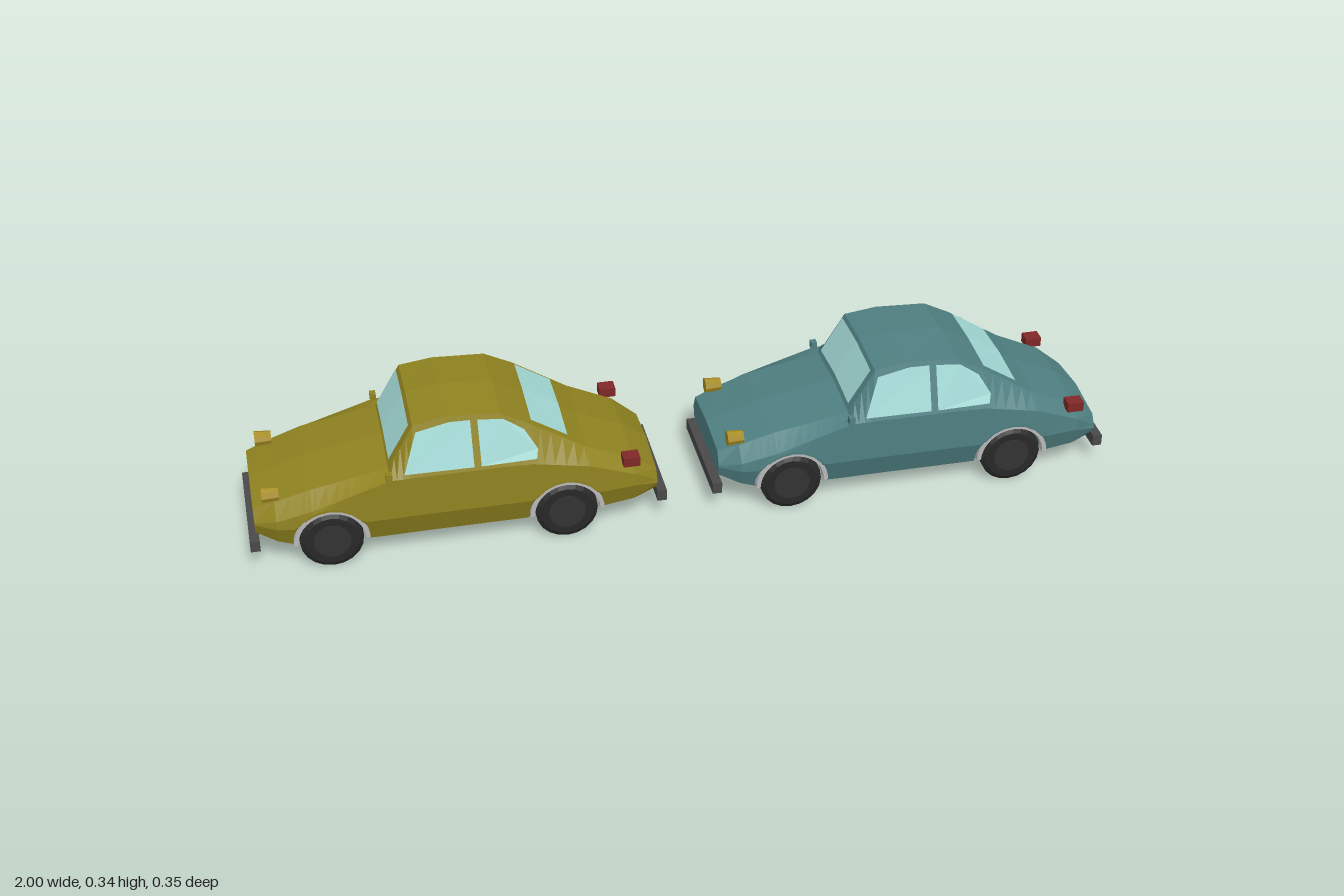
import * as THREE from 'three';

const mat = (name, color, extra = {}) => {
  const m = new THREE.MeshStandardMaterial({ color, flatShading: true, ...extra });
  m.name = name;
  return m;
};

// Body stations: x, belt height, belt half width, roof edge height, roof edge half width, centre height
const KEYS = [
  [-0.458, 0.12, 0.13, 0.15, 0.115, 0.158],
  [-0.41, 0.135, 0.16, 0.165, 0.125, 0.172],
  [-0.33, 0.16, 0.172, 0.19, 0.13, 0.198],
  [-0.155, 0.215, 0.171, 0.222, 0.13, 0.232],
  [-0.095, 0.215, 0.17, 0.325, 0.128, 0.332],
  [-0.02, 0.215, 0.17, 0.337, 0.125, 0.345],
  [0.1, 0.215, 0.17, 0.33, 0.127, 0.337],
  [0.165, 0.213, 0.17, 0.295, 0.131, 0.301],
  [0.29, 0.19, 0.172, 0.215, 0.13, 0.224],
  [0.395, 0.145, 0.16, 0.168, 0.125, 0.178],
  [0.453, 0.1, 0.13, 0.122, 0.115, 0.135],
];
const FLOOR = [[-0.458, 0.09], [-0.376, 0.062], [-0.18, 0.055], [0.135, 0.055], [0.32, 0.062], [0.453, 0.075]];
const AXLES = [-0.293, 0.237];
const WHEEL_Y = 0.071, ARCH_R = 0.083;

// Linear interpolation of a table row at x
function sample(table, x) {
  let i = 0;
  while (i < table.length - 2 && x > table[i + 1][0]) i++;
  const [a, b] = [table[i], table[i + 1]];
  const t = (x - a[0]) / (b[0] - a[0]);
  return a.map((v, k) => v + (b[k] - v) * t);
}

// Underside height, with the wheel arches cut into it
function floorY(x) {
  for (const c of AXLES) {
    const d = Math.abs(x - c);
    if (d <= ARCH_R) return WHEEL_Y + Math.sqrt(ARCH_R * ARCH_R - d * d);
  }
  return sample(FLOOR, x)[1];
}

// Closed cross-section as [z, y] pairs
function section(x) {
  const [, by, bw, ty, tw, cy] = sample(KEYS, x);
  const fy = floorY(x);
  const belt = Math.max(by, fy + 0.012);
  const mid = Math.min(Math.max(fy + 0.006, 0.115), belt - 0.006);
  const lowW = bw * (0.88 + 0.13 * Math.min(1, Math.max(0, (fy - 0.055) / 0.065)));
  const half = [[lowW, fy], [bw + 0.002, mid], [bw, belt], [tw, ty]];
  return [[0, fy], ...half, [0, cy], ...half.map(([z, y]) => [-z, y]).reverse()];
}

function bodyGeometry() {
  const xs = KEYS.map((k) => k[0]).concat(FLOOR.map((f) => f[0]));
  for (const c of AXLES) {
    for (let i = 0; i <= 10; i++) xs.push(c - (ARCH_R - 0.00001) * Math.cos((i / 10) * Math.PI));
    xs.push(c - ARCH_R - 0.002, c + ARCH_R + 0.002);
  }
  for (let x = -0.14; x < -0.1; x += 0.015) xs.push(x);
  const stations = xs.sort((a, b) => a - b).filter((x, i, a) => i === 0 || x - a[i - 1] > 0.0008);
  const pos = [], idx = [], N = 10;
  stations.forEach((x) => section(x).forEach(([z, y]) => pos.push(x, y, z)));
  const last = (stations.length - 1) * N;
  for (let i = 0; i < last; i += N) {
    for (let j = 0; j < N; j++) {
      const k = (j + 1) % N;
      idx.push(i + j, i + N + j, i + N + k, i + j, i + N + k, i + k);
    }
  }
  // Nose and tail caps
  for (let j = 1; j < N - 1; j++) idx.push(0, j, j + 1, last, last + j + 1, last + j);
  const g = new THREE.BufferGeometry();
  g.setAttribute('position', new THREE.Float32BufferAttribute(pos, 3));
  g.setIndex(idx);
  const flat = g.toNonIndexed();
  flat.computeVertexNormals();
  return flat;
}

// Side glass laid on the sloping cabin side
function sideGlass(points) {
  const g = new THREE.ShapeGeometry(new THREE.Shape(points.map(([x, y]) => new THREE.Vector2(x, y))));
  const p = g.attributes.position;
  for (let i = 0; i < p.count; i++) {
    const [, by, bw, ty, tw] = sample(KEYS, p.getX(i));
    const t = (p.getY(i) - by) / (ty - by);
    p.setZ(i, bw + (tw - bw) * t + 0.005);
  }
  g.computeVertexNormals();
  return g;
}

// Front or rear glass laid on the crowned top surface
function crossGlass(x0, x1, dx) {
  const pos = [];
  for (const x of [x0, x1]) {
    const [, , , ty, tw, cy] = sample(KEYS, x);
    for (const z of [-0.118, 0, 0.118]) {
      pos.push(x + dx, cy + (ty - cy) * Math.abs(z) / tw + 0.003, z);
    }
  }
  const g = new THREE.BufferGeometry();
  g.setAttribute('position', new THREE.Float32BufferAttribute(pos, 3));
  g.setIndex([0, 1, 4, 0, 4, 3, 1, 2, 5, 1, 5, 4]);
  g.computeVertexNormals();
  return g;
}

function wheelGeometry() {
  const profile = [[0, -0.019], [0.06, -0.019], [0.071, -0.012], [0.071, 0.012], [0.06, 0.019], [0, 0.019]];
  return new THREE.LatheGeometry(profile.map(([x, y]) => new THREE.Vector2(x, y)), 20).rotateX(Math.PI / 2);
}

function archGeometry() {
  const s = new THREE.Shape();
  s.absarc(0, 0, 0.085, 0, Math.PI, false);
  s.absarc(0, 0, 0.075, Math.PI, 0, true);
  return new THREE.ExtrudeGeometry(s, { depth: 0.022, bevelEnabled: false, curveSegments: 10 });
}

function makeCar(paint, m) {
  const car = new THREE.Group();
  const add = (name, geometry, material, x = 0, y = 0, z = 0) => {
    const mesh = new THREE.Mesh(geometry, material);
    mesh.name = name;
    mesh.position.set(x, y, z);
    car.add(mesh);
    return mesh;
  };
  add('body', bodyGeometry(), paint);

  // Glass
  add('windshield', crossGlass(-0.148, -0.099, -0.004), m.glass);
  add('rearWindow', crossGlass(0.167, 0.248, 0.002), m.glass);
  const front = [[-0.123, 0.225], [0.032, 0.225], [0.032, 0.326], [-0.015, 0.327], [-0.09, 0.313]];
  const back = [[0.048, 0.225], [0.172, 0.225], [0.177, 0.245], [0.15, 0.29], [0.105, 0.32], [0.048, 0.325]];

  const wheel = wheelGeometry(), arch = archGeometry();
  const hub = new THREE.CylinderGeometry(0.042, 0.042, 0.042, 16).rotateX(Math.PI / 2);
  const lamp = new THREE.CylinderGeometry(0.015, 0.018, 0.038, 8).rotateZ(-Math.PI / 2);
  for (const s of [1, -1]) {
    add('frontSideWindow', sideGlass(front), m.glass).scale.z = s;
    add('rearSideWindow', sideGlass(back), m.glass).scale.z = s;
    for (const x of AXLES) {
      add('wheel', wheel, m.tire, x, WHEEL_Y, s * 0.148);
      add('hub', hub, m.hub, x, WHEEL_Y, s * 0.148);
      add('wheelArch', arch, m.arch, x, WHEEL_Y, s * 0.149).scale.z = s;
    }
    add('headlight', lamp, m.lamp, -0.417, 0.18, s * 0.114);
    add('tailLight', new THREE.BoxGeometry(0.038, 0.023, 0.032), m.red, 0.388, 0.18, s * 0.147);
    add('mirror', new THREE.BoxGeometry(0.014, 0.018, 0.016), paint, -0.157, 0.225, s * 0.168);
  }

  // Bumpers
  add('frontBumper', new THREE.BoxGeometry(0.022, 0.027, 0.278), m.bumper, -0.462, 0.061, 0);
  add('rearBumper', new THREE.BoxGeometry(0.022, 0.027, 0.278), m.bumper, 0.462, 0.061, 0);
  return car;
}

export function createModel() {
  const m = {
    glass: mat('glass', 0xa2d8d4, { side: THREE.DoubleSide }),
    tire: mat('tire', 0x282828),
    hub: mat('hub', 0x323232),
    arch: mat('archGrey', 0xb8b8b8),
    lamp: mat('lampYellow', 0xa68c22),
    red: mat('tailRed', 0x802828),
    bumper: mat('bumperGrey', 0x4a4848),
  };
  const model = new THREE.Group();
  model.name = 'twoCars';
  const oliveCar = makeCar(mat('olivePaint', 0x8f8220), m);
  oliveCar.name = 'oliveCar';
  oliveCar.position.x = -0.527;
  const tealCar = makeCar(mat('tealPaint', 0x4f7f81), m);
  tealCar.name = 'tealCar';
  tealCar.position.x = 0.527;
  model.add(oliveCar, tealCar);
  return model;
}
